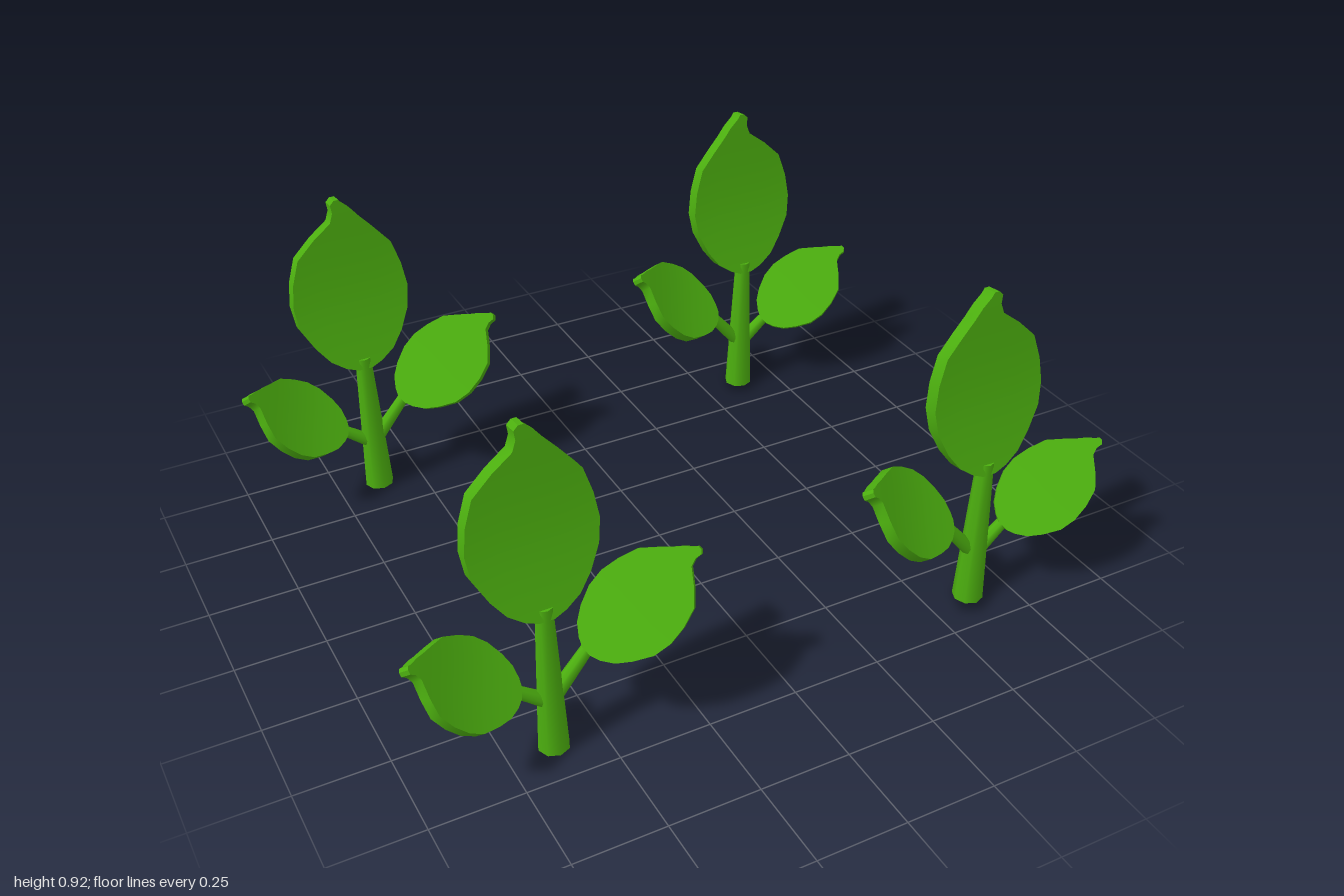
import * as THREE from 'three';
import { toCreasedNormals } from 'three/addons/utils/BufferGeometryUtils.js';

const leafGreen = new THREE.MeshStandardMaterial({ color: 0x4caf0f });
leafGreen.name = 'leaf green';

// Leaf outline from base to hooked tip: height, left edge, right edge
const OUTLINE = [
  [0, -0.02, 0.02], [0.014, -0.052, 0.055], [0.043, -0.092, 0.095], [0.09, -0.125, 0.13],
  [0.155, -0.154, 0.165], [0.22, -0.163, 0.174], [0.29, -0.152, 0.165], [0.36, -0.13, 0.142],
  [0.41, -0.088, 0.09], [0.45, -0.052, 0.037], [0.478, -0.03, 0.027], [0.502, -0.004, 0.03],
  [0.514, 0.004, 0.018],
];
const LEAF_LENGTH = 0.514;
const COLS = 4;

// Thick leaf, standing on its base along +y, facing +z, gently bent along its length
function leafGeometry(hook) {
  const positions = [], index = [];
  const rows = OUTLINE.length, layer = rows * (COLS + 1);
  for (const half of [0.021, -0.021]) {
    for (const [y, l, r] of OUTLINE) {
      const [a, b] = hook > 0 ? [l, r] : [-r, -l];
      const z = half - 0.013 * Math.sin((Math.PI * 2 * y) / LEAF_LENGTH * 0.6);
      for (let c = 0; c <= COLS; c++) positions.push(a + ((b - a) * c) / COLS, y, z);
    }
  }
  const at = (r, c) => r * (COLS + 1) + c;
  const quad = (a, b, c, d) => index.push(a, b, c, a, c, d);
  for (let r = 0; r < rows - 1; r++) {
    for (let c = 0; c < COLS; c++) {
      const q = [at(r, c), at(r, c + 1), at(r + 1, c + 1), at(r + 1, c)];
      quad(...q);
      quad(...q.reverse().map((i) => i + layer));
    }
    // side rims
    quad(at(r, COLS), at(r, COLS) + layer, at(r + 1, COLS) + layer, at(r + 1, COLS));
    quad(at(r, 0) + layer, at(r, 0), at(r + 1, 0), at(r + 1, 0) + layer);
  }
  // base and tip rims
  for (let c = 0; c < COLS; c++) {
    quad(at(0, c) + layer, at(0, c + 1) + layer, at(0, c + 1), at(0, c));
    const t = rows - 1;
    quad(at(t, c), at(t, c + 1), at(t, c + 1) + layer, at(t, c) + layer);
  }
  const g = new THREE.BufferGeometry();
  g.setAttribute('position', new THREE.Float32BufferAttribute(positions, 3));
  g.setIndex(index);
  return toCreasedNormals(g, 0.7);
}

// Tapered round stalk between two points
function stalk(name, from, to, r0, r1) {
  const dir = to.clone().sub(from);
  const mesh = new THREE.Mesh(new THREE.CylinderGeometry(r1, r0, dir.length(), 8), leafGreen);
  mesh.name = name;
  mesh.position.copy(from).add(to).multiplyScalar(0.5);
  mesh.quaternion.setFromUnitVectors(new THREE.Vector3(0, 1, 0), dir.normalize());
  return mesh;
}

// Side leaf from base to tip, turned upward and forward toward the stem
function sideLeaf(name, base, tip) {
  const along = tip.clone().sub(base);
  const scale = along.length() / LEAF_LENGTH;
  along.normalize();
  const side = Math.sign(along.x);
  const across = new THREE.Vector3(0, 0.75, -0.66);
  across.addScaledVector(along, -across.dot(along)).normalize().multiplyScalar(-side);
  const facing = across.clone().cross(along);
  const mesh = new THREE.Mesh(leafGeometry(side), leafGreen);
  mesh.name = name;
  mesh.quaternion.setFromRotationMatrix(new THREE.Matrix4().makeBasis(across, along, facing));
  mesh.scale.set(scale, scale, scale * 1.1);
  mesh.position.copy(base);
  return mesh;
}

// One sprout; mirror = 1 or -1 flips it across x
function createSprout(mirror) {
  const sprout = new THREE.Group();
  const p = (x, y, z) => new THREE.Vector3(x * mirror, y, z);
  sprout.add(stalk('stem', p(0.626, 0, 0), p(0.634, 0.44, -0.004), 0.042, 0.023));

  const mainLeaf = new THREE.Mesh(leafGeometry(mirror), leafGreen);
  mainLeaf.name = 'mainLeaf';
  mainLeaf.position.copy(p(0.635, 0.407, -0.003));
  mainLeaf.rotation.x = -0.153;
  sprout.add(mainLeaf);

  const sides = [
    ['outer', p(0.715, 0.207, 0.005), p(0.992, 0.422, 0.022)],
    ['inner', p(0.53, 0.268, 0.005), p(0.238, 0.495, 0.022)],
  ];
  for (const [label, base, tip] of sides) {
    const end = base.clone().lerp(tip, 0.06);
    end.z -= 0.012;
    sprout.add(stalk(label + 'Branch', p(0.63, 0.145, 0), end, 0.021, 0.016));
    sprout.add(sideLeaf(label + 'Leaf', base, tip));
  }
  return sprout;
}

export function createModel() {
  const model = new THREE.Group();
  model.name = 'sprouts';
  for (const [zName, z] of [['front', 0.634], ['back', -0.634]]) {
    for (const [xName, mirror] of [['Left', 1], ['Right', -1]]) {
      const sprout = createSprout(mirror);
      sprout.name = zName + xName + 'Sprout';
      sprout.position.z = z;
      model.add(sprout);
    }
  }
  return model;
}
